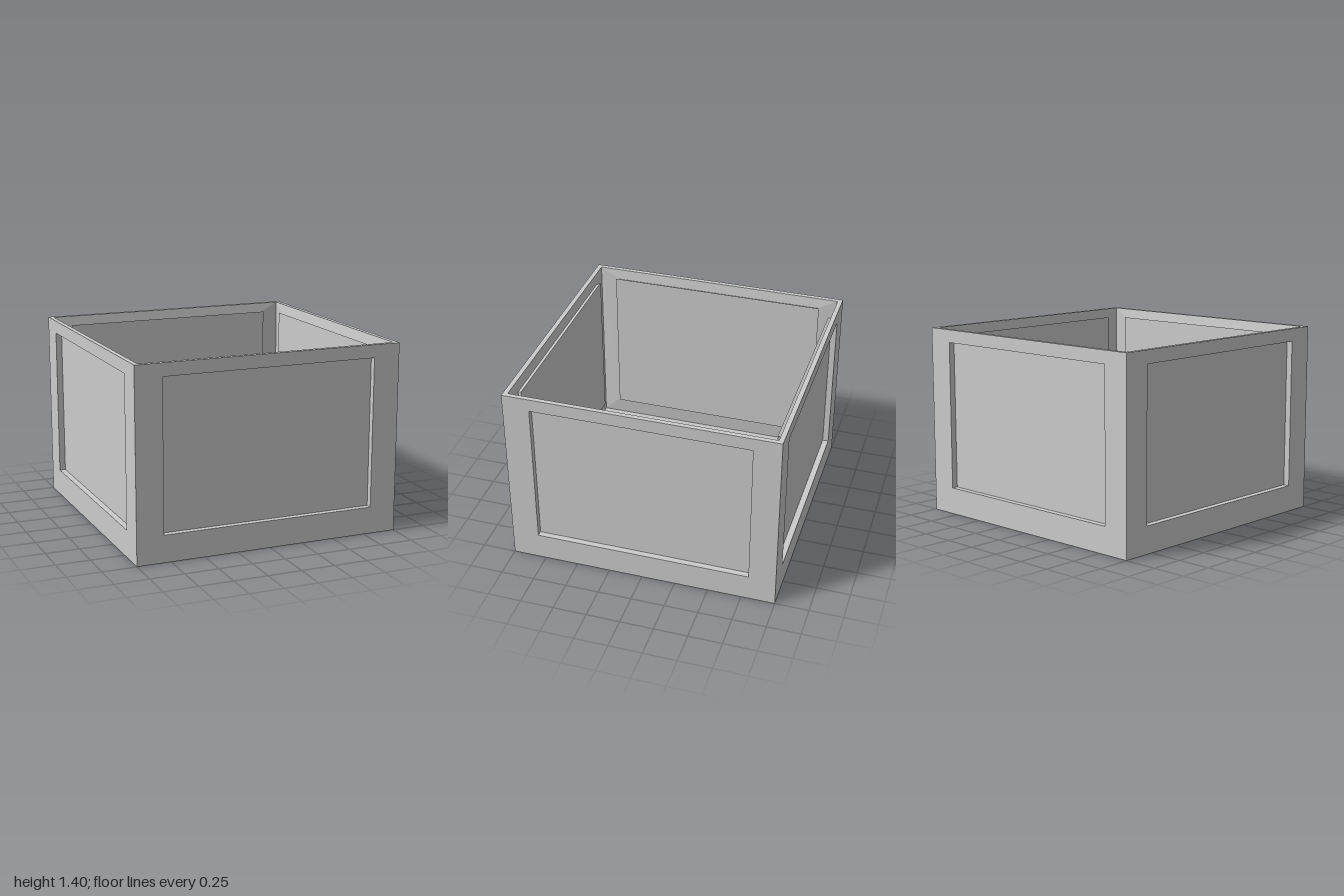
import * as THREE from 'three';

const H = 1.4;        // height of the box
const DEPTH = 0.045;  // depth of the recessed panels
const material = new THREE.MeshStandardMaterial({ color: 0xcccccc, flatShading: true });

// Flat-shaded mesh from quads, each listed counterclockwise from its front
function quadMesh(name, quads) {
  const pos = quads.flatMap(([a, b, c, d]) => [a, b, c, a, c, d].flat());
  const geometry = new THREE.BufferGeometry();
  geometry.setAttribute('position', new THREE.Float32BufferAttribute(pos, 3));
  geometry.computeVertexNormals();
  const mesh = new THREE.Mesh(geometry, material);
  mesh.name = name;
  return mesh;
}

// Nested four-corner rings joined by strips, closed by the last ring
function nestedRings(rings, flip = false) {
  const quads = [];
  for (let r = 0; r < rings.length - 1; r++) {
    const [a, b] = [rings[r], rings[r + 1]];
    for (let i = 0; i < 4; i++) {
      const j = (i + 1) % 4;
      quads.push([a[i], a[j], b[j], b[i]]);
    }
  }
  quads.push(rings[rings.length - 1]);
  return flip ? quads.map((q) => [...q].reverse()) : quads;
}

// Upright rectangle facing +z
const upright = (w, y0, y1, z) => [[-w, y0, z], [w, y0, z], [w, y1, z], [-w, y1, z]];
// Level square facing down
const level = (w, y) => [[-w, y, -w], [w, y, -w], [w, y, w], [-w, y, w]];

// One wall: framed recess outside, matching raised panel inside, and rim
function createWall() {
  const outer = upright(1, 0, H, 1);
  const inner = [[-0.971, 0.029, 0.971], [0.971, 0.029, 0.971], [0.965, H, 0.965], [-0.965, H, 0.965]];
  const wall = new THREE.Group();
  wall.add(
    quadMesh('wallOutside', nestedRings([
      outer,
      upright(0.8, 0.2, 1.305, 1),
      upright(0.8, 0.2, 1.305, 1 - DEPTH),
    ])),
    quadMesh('wallInside', nestedRings([
      inner,
      upright(0.815, 0.185, 1.32, 0.955),
      upright(0.829, 0.171, 1.334, 0.971 - DEPTH),
    ], true)),
    quadMesh('rim', [[outer[3], outer[2], inner[2], inner[3]]]),
  );
  return wall;
}

export function createModel() {
  const box = new THREE.Group();
  box.name = 'openBox';

  // Four identical walls
  ['frontWall', 'leftWall', 'backWall', 'rightWall'].forEach((name, i) => {
    const wall = createWall();
    wall.name = name;
    wall.rotation.y = (i * Math.PI) / 2;
    box.add(wall);
  });

  // Floor with a recess underneath and a raised panel inside
  const floor = new THREE.Group();
  floor.name = 'floor';
  floor.add(
    quadMesh('floorUnderside', nestedRings([level(1, 0), level(0.8, 0), level(0.8, DEPTH)])),
    quadMesh('floorInside', nestedRings([
      level(0.971, 0.029), level(0.815, 0.045), level(0.829, 0.029 + DEPTH),
    ], true)),
  );
  box.add(floor);
  return box;
}
